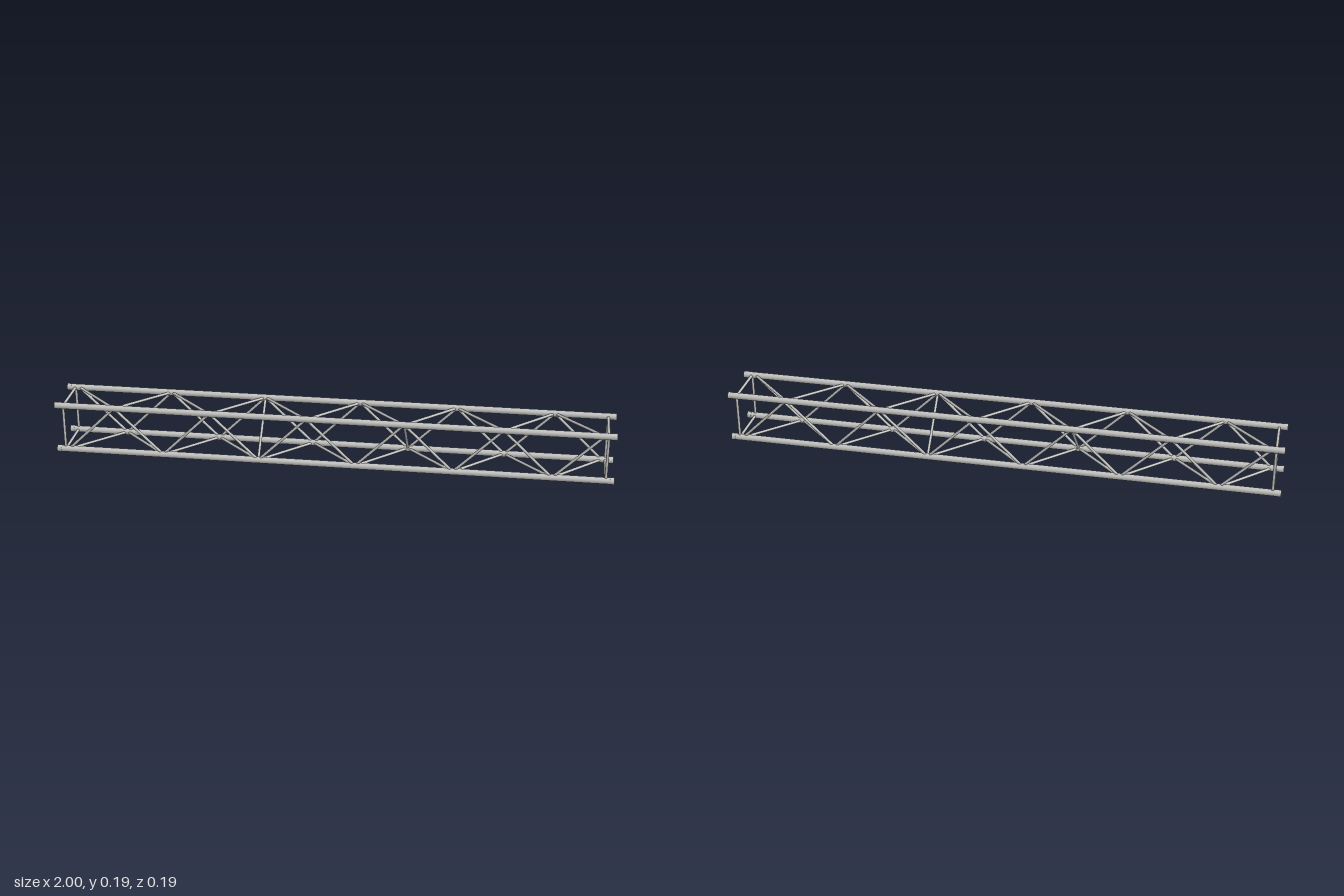
import * as THREE from 'three';

export function createModel() {
  const model = new THREE.Group();
  model.name = 'boxTruss';
  const aluminium = new THREE.MeshStandardMaterial({ color: 0xc0c0be });
  aluminium.name = 'aluminium';

  const half = 0.085;   // chord axis offset from the truss centre line
  const midY = 0.0975;
  const bay = 0.174;
  const bays = 11;
  const braceRadius = 0.005;

  const at = (x, sy, sz) => new THREE.Vector3(x, midY + sy * half, sz * half);

  // Round bar between two points
  function bar(name, a, b, radius, sides = 12) {
    const dir = b.clone().sub(a);
    const mesh = new THREE.Mesh(new THREE.CylinderGeometry(radius, radius, dir.length(), sides), aluminium);
    mesh.name = name;
    mesh.position.copy(a).add(b).multiplyScalar(0.5);
    mesh.quaternion.setFromUnitVectors(new THREE.Vector3(0, 1, 0), dir.normalize());
    model.add(mesh);
  }

  // Corners in order around the section: [y side, z side]
  const corners = [[-1, 1], [1, 1], [1, -1], [-1, -1]];

  corners.forEach(([sy, sz], c) => {
    const [ny, nz] = corners[(c + 1) % 4];

    // Main chord with its end collars
    bar('chord', at(-0.999, sy, sz), at(0.999, sy, sz), 0.0118, 24);
    for (const s of [-1, 1]) {
      bar('endCollar', at(s * 0.985, sy, sz), at(s, sy, sz), 0.0124, 24);
      // Square end frame
      bar('endFrameBar', at(s * 0.97, sy, sz), at(s * 0.97, ny, nz), braceRadius);
    }

    // Zigzag lacing on the face between this corner and the next
    const node = (i) => {
      const x = (i - bays / 2) * bay;
      return (i + c) % 2 === 0 ? at(x, sy, sz) : at(x, ny, nz);
    };
    for (let i = 0; i < bays; i++) bar('lacing', node(i), node(i + 1), braceRadius);
  });

  // Inner diagonals across the section
  for (const s of [-1, 1]) {
    bar('crossBrace', at(s * 1.5 * bay, s, 1), at(s * 1.5 * bay, -s, -1), braceRadius);
  }

  return model;
}
